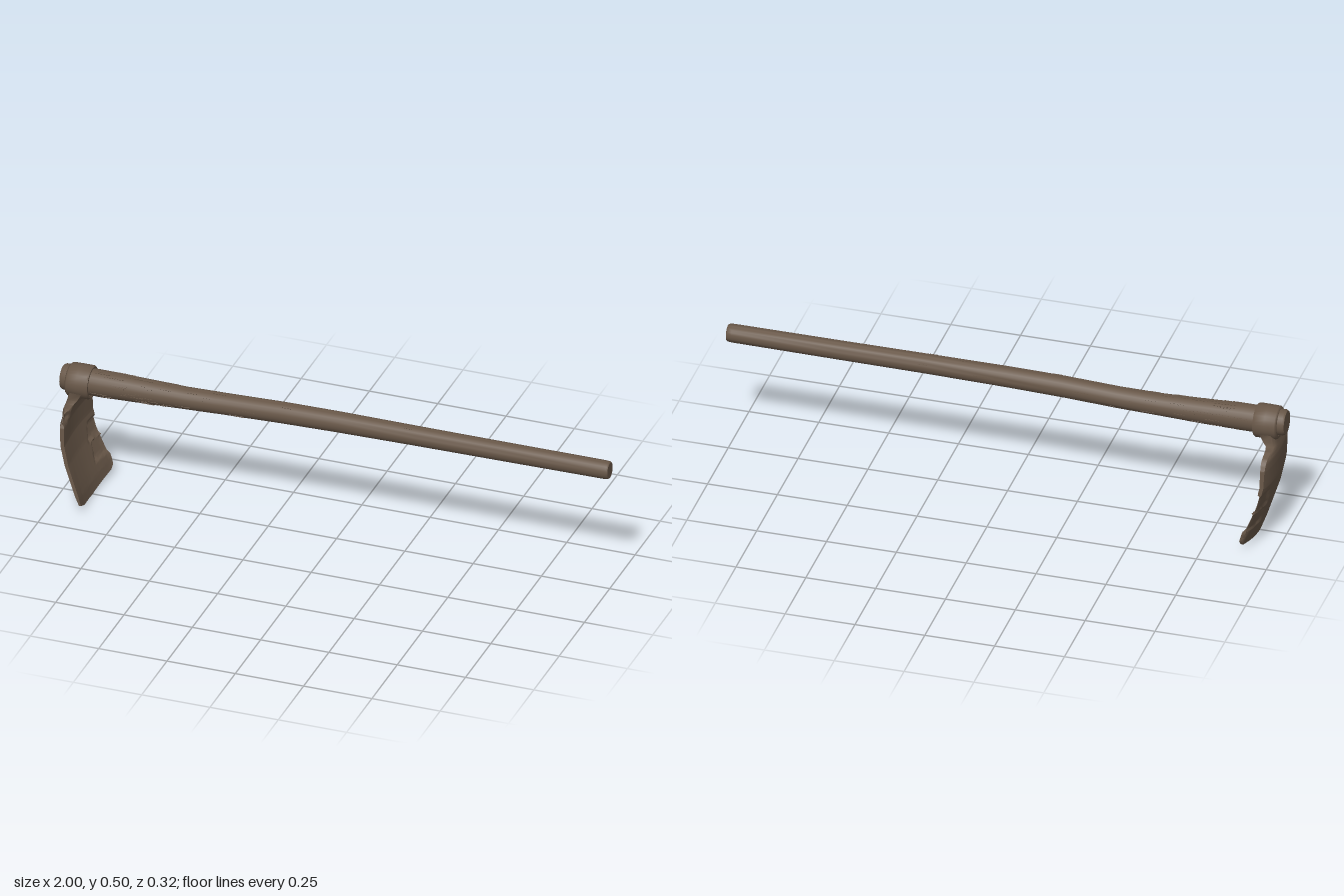
import * as THREE from 'three';
import { mergeGeometries, toCreasedNormals } from 'three/addons/utils/BufferGeometryUtils.js';

const wornBrown = new THREE.MeshStandardMaterial({ color: 0x685748 });

// Piecewise linear lookup: each row is [position, value, value, ...] in rising order
function sample(rows, p) {
  let i = 0;
  while (i < rows.length - 2 && p > rows[i + 1][0]) i++;
  const a = rows[i], b = rows[i + 1];
  const t = THREE.MathUtils.clamp((p - a[0]) / (b[0] - a[0]), 0, 1);
  return a.map((v, k) => v + (b[k] - v) * t);
}

// Closed skin through equal-sized loops of points; end caps are strips across the loop
function loft(rings, crease) {
  const n = rings[0].length, last = (rings.length - 1) * n, index = [];
  for (let a = 0; a < last; a += n) {
    for (let i = 0; i < n; i++) {
      const j = (i + 1) % n, b = a + n;
      index.push(a + i, a + j, b + j, a + i, b + j, b + i);
    }
  }
  for (let i = 0; i < n / 2 - 1; i++) {
    const p = i + 1, q = n - 2 - i, r = n - 1 - i;
    index.push(i, q, p, i, r, q);
    index.push(last + i, last + p, last + q, last + i, last + q, last + r);
  }
  const g = new THREE.BufferGeometry();
  g.setAttribute('position', new THREE.Float32BufferAttribute(rings.flat(2), 3));
  g.setIndex(index);
  return toCreasedNormals(g, crease);
}

// Handle stations: x, centre y, radius y, centre z, radius z
const handleRows = [
  [-1.0, 0.445, 0.042, 0, 0.04], [-0.993, 0.445, 0.046, 0, 0.044],
  [-0.9, 0.443, 0.048, 0, 0.045], [-0.85, 0.443, 0.048, 0, 0.045],
  [-0.7, 0.443, 0.044, -0.003, 0.042], [-0.55, 0.444, 0.039, -0.005, 0.039],
  [-0.4, 0.448, 0.038, -0.007, 0.037], [-0.2, 0.456, 0.038, -0.005, 0.036],
  [0, 0.46, 0.037, -0.004, 0.035], [0.3, 0.462, 0.035, -0.003, 0.033],
  [0.6, 0.463, 0.034, -0.003, 0.032], [0.98, 0.465, 0.033, -0.003, 0.031],
  [0.995, 0.465, 0.032, -0.003, 0.03], [1.0, 0.465, 0.029, -0.003, 0.027],
];

function handlePoint(x, angle, raise = 0) {
  const [, cy, ry, cz, rz] = sample(handleRows, x);
  return [x, cy + Math.cos(angle) * (ry + raise), cz + Math.sin(angle) * (rz + raise)];
}

function handleGeometry() {
  const sides = 24;
  const rings = handleRows.map(([x]) => Array.from({ length: sides },
    (_, i) => handlePoint(x, (i / sides) * Math.PI * 2)));
  return loft(rings, 0.6);
}

// Thin splinters lifted along the grain, dense beside the collar
function splinterGeometry() {
  let seed = 11;
  const rand = () => (seed = (seed * 16807) % 2147483647) / 2147483647;
  const parts = [];
  for (let i = 0; i < 100; i++) {
    const x = i < 70 ? -0.86 + 0.2 * rand() : -0.65 + 1.55 * rand() * rand();
    const angle = rand() * Math.PI * 2;
    const bar = new THREE.BoxGeometry(0.015 + 0.045 * rand(), 0.003, 0.002 + 0.002 * rand());
    bar.rotateX(angle);
    bar.translate(...handlePoint(x, angle, -0.0005));
    parts.push(bar);
  }
  return mergeGeometries(parts);
}

// Blade stations: y, half width, middle x, thickness
const bladeRows = [
  [0, 0.16, -0.898, 0.012], [0.04, 0.16, -0.909, 0.02],
  [0.07, 0.157, -0.918, 0.021], [0.17, 0.148, -0.949, 0.022],
  [0.25, 0.143, -0.965, 0.023], [0.32, 0.14, -0.967, 0.026],
  [0.345, 0.127, -0.965, 0.03], [0.357, 0.11, -0.963, 0.032],
  [0.366, 0.08, -0.96, 0.034], [0.372, 0.06, -0.957, 0.038],
  [0.385, 0.053, -0.948, 0.05], [0.415, 0.054, -0.938, 0.066],
];

// Height of the worn cutting edge across the blade
const edgeRows = [
  [-1, 0.04], [-0.93, 0.022], [-0.4, 0.007], [0, 0], [0.4, 0.006], [0.62, 0.011], [1, 0.04],
];

// Depth of the two chipped dents by one edge and the worn opposite shoulder
function dent(y, z) {
  const step = THREE.MathUtils.smoothstep;
  let d = 0;
  for (const [low, high] of [[0.085, 0.152], [0.157, 0.225]]) {
    const inner = -0.066 - 0.25 * (y - low);
    d += 0.014 * step(inner - z, 0, 0.012) * step(y, low - 0.004, low + 0.008)
      * (1 - step(y, high - 0.01, high + 0.003));
  }
  d += 0.014 * step(z, 0.07, 0.095) * step(y, 0.325, 0.338) * (1 - step(y, 0.355, 0.37));
  return d;
}

function bladeGeometry() {
  const cols = 48, rings = [];
  const heights = bladeRows.map((r) => r[0]);
  for (let y = 0.006; y < 0.37; y += 0.0063) heights.push(y);
  heights.sort((a, b) => a - b);
  for (const h of heights) {
    const [, w, mid, thick] = sample(bladeRows, h);
    const ring = [];
    for (const side of [1, -1]) {
      for (let i = 0; i <= cols; i++) {
        const u = side * (1 - (2 * i) / cols), z = u * w;
        const y = h + sample(edgeRows, u)[1] * Math.max(0, 1 - h / 0.36) ** 2;
        const half = thick * 0.5 * (1 - 0.4 * Math.abs(u) ** 4);
        const cut = Math.min(dent(y, z), half * 1.2) * (side > 0 ? 1 : 0.5);
        ring.push([mid + 0.7 * z * z + side * (half - cut), y, z]);
      }
    }
    rings.push(ring);
  }
  return loft(rings, 1);
}

// Socket ring around the handle
function collarGeometry() {
  const profile = [
    [0.044, -0.042], [0.054, -0.042], [0.059, -0.036], [0.06, 0], [0.06, 0.036],
    [0.056, 0.042], [0.049, 0.042], [0.044, 0.036], [0.044, -0.042],
  ].map(([r, y]) => new THREE.Vector2(r, y));
  const g = new THREE.LatheGeometry(profile, 32);
  g.rotateZ(-Math.PI / 2);
  g.translate(-0.934, 0.44, 0);
  return toCreasedNormals(g, 0.9);
}

export function createModel() {
  const model = new THREE.Group();
  model.name = 'hoe';
  const add = (name, geometry) => {
    const mesh = new THREE.Mesh(geometry, wornBrown);
    mesh.name = name;
    model.add(mesh);
  };
  add('handle', handleGeometry());
  add('handleSplinters', splinterGeometry());
  add('collar', collarGeometry());
  add('blade', bladeGeometry());
  return model;
}
